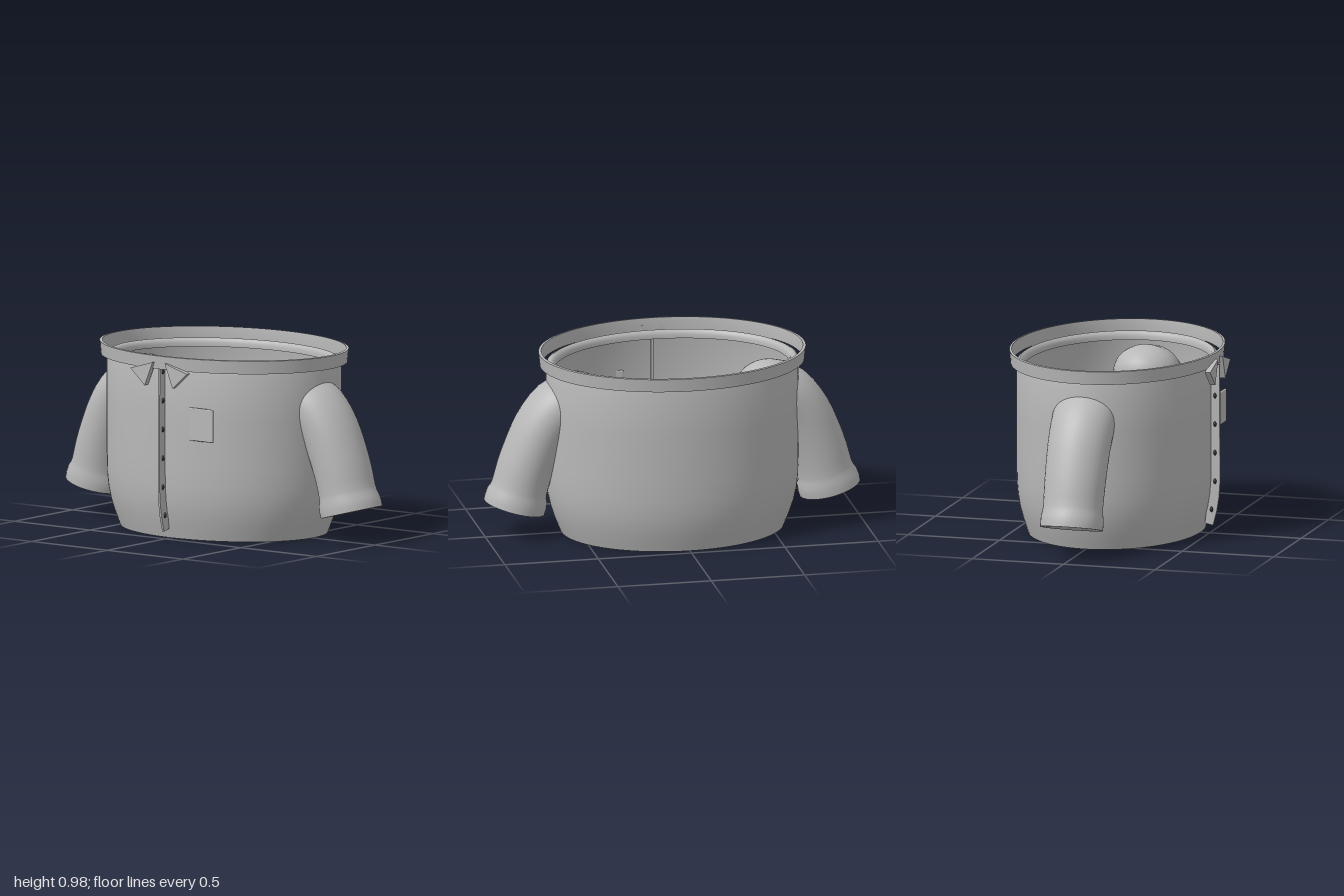
import * as THREE from 'three';
import { toCreasedNormals } from 'three/addons/utils/BufferGeometryUtils.js';
import { RoundedBoxGeometry } from 'three/addons/geometries/RoundedBoxGeometry.js';

const cloth = new THREE.MeshStandardMaterial({ color: 0xb8b8b8, side: THREE.DoubleSide });
cloth.name = 'grey cloth';
const dark = new THREE.MeshStandardMaterial({ color: 0x333333 });
dark.name = 'dark button';

function add(group, name, geometry, material = cloth) {
  const mesh = new THREE.Mesh(geometry, material);
  mesh.name = name;
  group.add(mesh);
  return mesh;
}

// Elliptical ring or shell: a lathe squashed along z
function ovalLathe(profile, depth, crease) {
  const points = profile.map(([x, y]) => new THREE.Vector2(x, y));
  const geometry = new THREE.LatheGeometry(points, 96);
  geometry.scale(1, 1, depth);
  geometry.translate(0, 0, -0.005);
  return toCreasedNormals(geometry, crease);
}

// Bent sleeve: rounded shoulder cap, slight taper, flared cuff with a rimmed opening
function sleeveGeometry(side) {
  const path = new THREE.CatmullRomCurve3([
    [0.36, 0.71], [0.46, 0.735], [0.58, 0.725], [0.68, 0.625],
    [0.775, 0.417], [0.815, 0.28], [0.845, 0.167],
  ].map(([x, y]) => new THREE.Vector3(x, y, 0)));
  const length = path.getLength();
  const stations = []; // [t, in-plane radius, z radius]
  const capLength = 0.17;
  for (let i = 0; i <= 10; i++) {
    const a = (i / 10) * Math.PI / 2;
    const r = Math.max(Math.sin(a), 0.001);
    stations.push([(1 - Math.cos(a)) * capLength / length, 0.145 * r, 0.174 * r]);
  }
  const capEnd = capLength / length;
  for (let i = 1; i <= 12; i++) {
    const k = i / 12;
    stations.push([capEnd + (0.87 - capEnd) * k, 0.145 + 0.003 * k, 0.174 - 0.016 * k]);
  }
  stations.push([0.9, 0.152, 0.16], [0.93, 0.162, 0.165], [0.97, 0.166, 0.166], [1, 0.165, 0.165],
    [1, 0.155, 0.155], [0.975, 0.103, 0.103], [0.94, 0.1, 0.1]);

  const sides = 40, positions = [], index = [];
  stations.forEach(([t, rn, rz], i) => {
    const c = path.getPointAt(t), d = path.getTangentAt(t);
    for (let j = 0; j < sides; j++) {
      const a = (j / sides) * Math.PI * 2;
      const n = Math.cos(a) * rn;
      positions.push(side * (c.x - d.y * n), c.y + d.x * n, Math.sin(a) * rz - 0.003);
      if (i === stations.length - 1) continue;
      const p = i * sides + j, q = i * sides + (j + 1) % sides;
      const r = p + sides, s = q + sides;
      if (side > 0) index.push(p, q, r, q, s, r);
      else index.push(p, r, q, q, r, s);
    }
  });
  const geometry = new THREE.BufferGeometry();
  geometry.setAttribute('position', new THREE.Float32BufferAttribute(positions, 3));
  geometry.setIndex(index);
  geometry.computeVertexNormals();
  return toCreasedNormals(geometry, 0.7);
}

function polygon(points) {
  return new THREE.Shape(points.map(([x, y]) => new THREE.Vector2(x, y)));
}

export function createModel() {
  const shirt = new THREE.Group();
  shirt.name = 'shirt';

  // Thin body shell with turned-in hems at top and bottom
  add(shirt, 'body', ovalLathe([
    [0.555, 0.05], [0.55, 0.02], [0.56, 0.008], [0.592, 0.008], [0.605, 0.04], [0.625, 0.09],
    [0.645, 0.15], [0.659, 0.215], [0.667, 0.29], [0.669, 0.4], [0.669, 0.65], [0.669, 0.9],
    [0.662, 0.922], [0.645, 0.93], [0.627, 0.922], [0.62, 0.905], [0.62, 0.885],
  ], 0.77, 0.9));

  // Loose collar band standing off the neck opening
  add(shirt, 'collarBand', ovalLathe([
    [0.688, 0.912], [0.7, 0.912], [0.704, 0.95], [0.707, 0.982], [0.692, 0.984],
    [0.688, 0.95], [0.688, 0.912],
  ], 0.78, 0.6));

  for (const side of [1, -1]) {
    const label = side > 0 ? 'left' : 'right';
    add(shirt, label + 'Sleeve', sleeveGeometry(side));

    // Pointed collar flap
    const outline = [[0.187, 0.905], [0.04, 0.948], [0.092, 0.82]].map(([x, y]) => [x * side, y]);
    const flap = new THREE.ExtrudeGeometry(polygon(outline), { depth: 0.03, bevelEnabled: false });
    flap.translate(0, 0, 0.529);
    add(shirt, label + 'CollarFlap', flap);
  }

  // Narrow button placket following the front, drawn in (z, y) and turned to face sideways
  const placketShape = polygon([
    [0.5, 0.912], [0.556, 0.912], [0.558, 0.28], [0.552, 0.2], [0.541, 0.13], [0.52, 0.05],
    [0.475, 0.06], [0.49, 0.16], [0.5, 0.28],
  ]);
  const placket = new THREE.ExtrudeGeometry(placketShape, { depth: 0.012, bevelEnabled: false });
  placket.rotateY(-Math.PI / 2);
  placket.translate(0.006, 0, 0);
  add(shirt, 'placket', placket);

  // Buttons
  [0.9, 0.745, 0.593, 0.44, 0.287, 0.135].forEach((y, i) => {
    const button = add(shirt, 'button' + (i + 1), new THREE.SphereGeometry(0.016, 16, 12), dark);
    button.scale.z = 0.55;
    button.position.set(0, y, i === 5 ? 0.512 : 0.531);
  });

  // Chest pocket
  const pocket = add(shirt, 'pocket', new RoundedBoxGeometry(0.155, 0.175, 0.014, 3, 0.006));
  pocket.position.set(0.233, 0.632, 0.494);

  return shirt;
}
